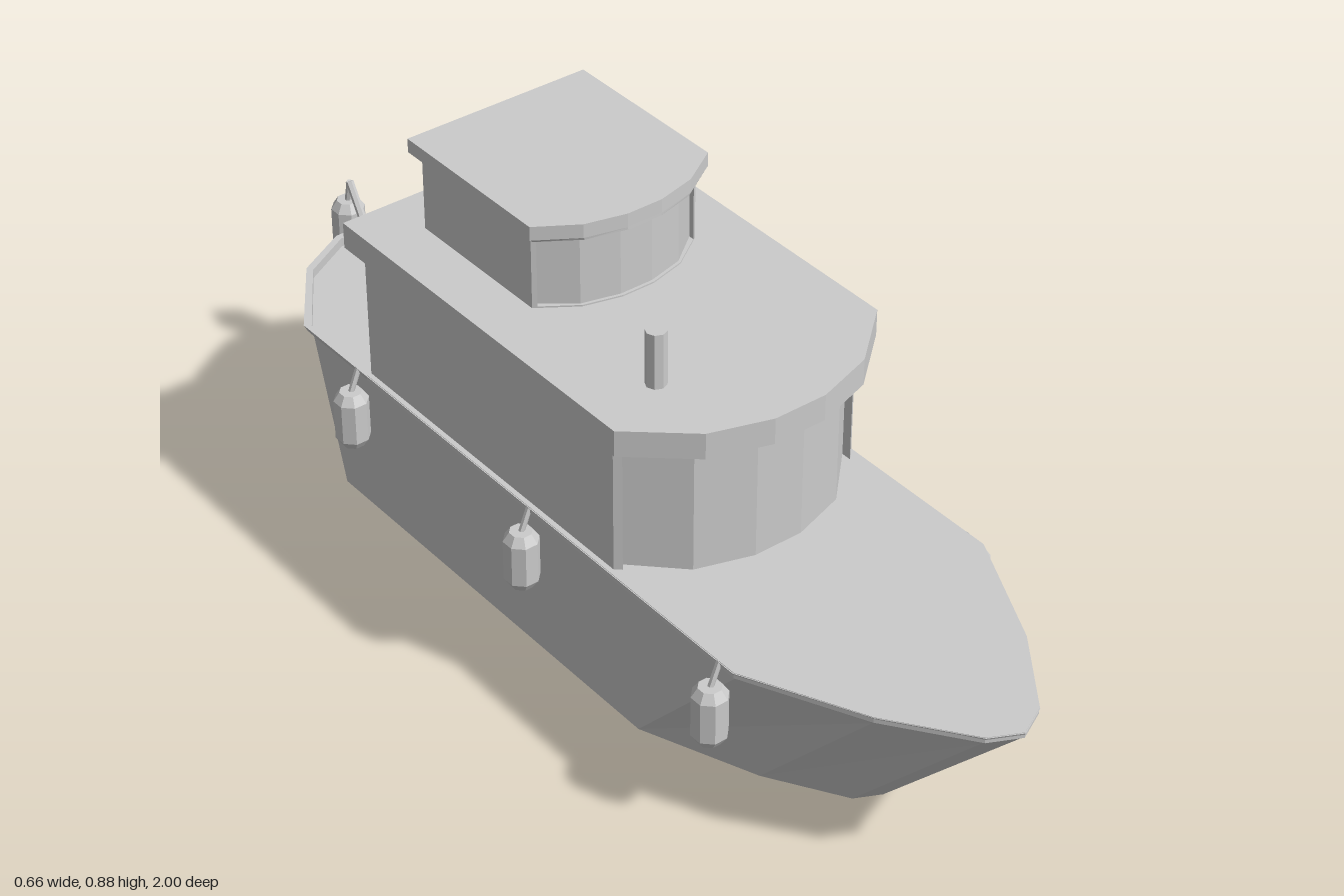
import * as THREE from 'three';

const material = new THREE.MeshStandardMaterial({ color: 0xcccccc, flatShading: true });

function addMesh(parent, name, geometry) {
  const mesh = new THREE.Mesh(geometry, material);
  mesh.name = name;
  parent.add(mesh);
  return mesh;
}

// Closed skin through matching convex rings of [x, y, z], capped at both ends
function loft(rings) {
  const pos = [];
  const n = rings[0].length;
  const tri = (a, b, c) => pos.push(...a, ...b, ...c);
  for (let r = 0; r < rings.length - 1; r++) {
    for (let i = 0; i < n; i++) {
      const j = (i + 1) % n;
      const a = rings[r][i], b = rings[r][j], c = rings[r + 1][j], d = rings[r + 1][i];
      tri(a, b, c);
      tri(a, c, d);
    }
  }
  const first = rings[0], last = rings[rings.length - 1];
  for (let i = 1; i < n - 1; i++) {
    tri(first[0], first[i + 1], first[i]);
    tri(last[0], last[i], last[i + 1]);
  }
  const g = new THREE.BufferGeometry();
  g.setAttribute('position', new THREE.Float32BufferAttribute(pos, 3));
  g.computeVertexNormals();
  return g;
}

// Mirrors the +x half of an outline (bow to stern) into a full loop
const mirror = (half) => [...half, ...half.filter((p) => p[0] > 0).reverse().map(([x, z]) => [-x, z])];
const at = (outline, y, sx = 1, sz = 1) => outline.map(([x, z]) => [x * sx, y, z * sz]);
const prism = (outline, y0, y1) => loft([at(outline, y0), at(outline, y1)]);

// Straight sides and back, with a faceted bow-shaped front
const house = (w, back, side, mid, front) =>
  mirror([[w * 0.19, front], [w * 0.6, mid], [w, side], [w, back]]);

// Panel standing out from a rear wall, with sloping edges
function rearPanel(w, y0, y1, z, depth, bevel) {
  const ring = (b, zz) => [[w - b, y0 + b, zz], [b - w, y0 + b, zz], [b - w, y1 - b, zz], [w - b, y1 - b, zz]];
  return loft([ring(0, z + 0.005), ring(bevel, z - depth)]);
}

// Cabin whose faceted front is sunk behind a narrow frame
function cabin(parent, name, w, back, side, mid, front, y0, y1, frame, sunk) {
  const group = new THREE.Group();
  group.name = name;
  const full = house(w, back, side, mid, front);
  const core = mirror([
    [w * 0.19, front - sunk], [w * 0.6, mid - sunk], [w - frame, side - sunk], [w, side - sunk], [w, back],
  ]);
  addMesh(group, 'sill', prism(full, y0, y0 + frame));
  addMesh(group, 'cabinBody', prism(core, y0 + frame, y1 - frame));
  addMesh(group, 'header', prism(full, y1 - frame, y1));
  const slope = (mid - side) / (w * 0.4);
  const post = [[w - frame, side + slope * frame], [w, side], [w, side - sunk], [w - frame, side - sunk]];
  addMesh(group, 'leftPost', prism(post, y0 + frame, y1 - frame));
  const other = post.map(([x, z]) => [-x, z]).reverse();
  addMesh(group, 'rightPost', prism(other, y0 + frame, y1 - frame));
  parent.add(group);
}

function rod(parent, name, from, to, radius) {
  const a = new THREE.Vector3(...from), b = new THREE.Vector3(...to);
  const dir = b.clone().sub(a);
  const mesh = addMesh(parent, name, new THREE.CylinderGeometry(radius, radius, dir.length(), 6));
  mesh.position.copy(a).add(b).multiplyScalar(0.5);
  mesh.quaternion.setFromUnitVectors(new THREE.Vector3(0, 1, 0), dir.normalize());
}

// Octagonal fender with its centre at the group's origin
function fender(name, x, y, z) {
  const group = new THREE.Group();
  group.name = name;
  const profile = [[0, -0.06], [0.022, -0.06], [0.034, -0.042], [0.034, 0.042], [0.022, 0.06], [0, 0.06]]
    .map(([r, h]) => new THREE.Vector2(r, h));
  addMesh(group, 'fenderBody', new THREE.LatheGeometry(profile, 8, Math.PI / 8));
  group.position.set(x, y, z);
  return group;
}

export function createModel() {
  const model = new THREE.Group();
  model.name = 'boat';

  // Hull: raked bow, flared sides, outer lip and a sunken stern deck
  const keel = mirror([[0, 0.67], [0.05, 0.645], [0.14, 0.5], [0.232, 0.27],
    [0.232, -0.66], [0.14, -0.815], [0.05, -0.872]]);
  const rail = mirror([[0, 1.0], [0.06, 0.97], [0.17, 0.82], [0.282, 0.59],
    [0.282, -0.7], [0.17, -0.86], [0.06, -0.92]]);
  addMesh(model, 'hull', loft([
    at(keel, 0), at(rail, 0.346, 0.95, 0.983), at(rail, 0.358, 0.98, 0.994), at(rail, 0.371),
    at(rail, 0.371, 0.96, 0.985), at(rail, 0.352, 0.96, 0.985),
  ]));
  const fore = mirror([[0, 0.998], [0.06, 0.968], [0.17, 0.818], [0.28, 0.59], [0.28, -0.49]]);
  addMesh(model, 'foredeck', prism(fore, 0.36, 0.372));

  // Main cabin and its overhanging roof
  cabin(model, 'mainCabin', 0.27, -0.49, 0.25, 0.345, 0.38, 0.36, 0.64, 0.012, 0.01);
  addMesh(model, 'mainRearPanel', rearPanel(0.26, 0.372, 0.628, -0.49, 0.035, 0.03));
  const roof = house(0.29, -0.525, 0.28, 0.38, 0.418);
  addMesh(model, 'mainRoof', loft([at(roof, 0.634, 0.965, 0.975), at(roof, 0.642), at(roof, 0.695)]));

  // Wheelhouse and its roof
  cabin(model, 'wheelhouse', 0.182, -0.42, -0.095, -0.045, -0.026, 0.69, 0.85, 0.008, 0.006);
  addMesh(model, 'wheelhouseRearPanel', rearPanel(0.174, 0.7, 0.844, -0.42, 0.024, 0.02));
  const upper = house(0.196, -0.443, -0.078, -0.028, -0.008);
  addMesh(model, 'wheelhouseRoof', loft([at(upper, 0.845, 0.965, 0.99), at(upper, 0.85), at(upper, 0.878)]));

  // Exhaust pipe
  const pipe = addMesh(model, 'exhaustPipe', new THREE.CylinderGeometry(0.02, 0.02, 0.12, 8));
  pipe.position.set(-0.15, 0.746, 0.215);

  // Fenders hung along both sides
  for (const [sideName, s] of [['left', 1], ['right', -1]]) {
    [0.55, 0.015, -0.523].forEach((z, i) => {
      model.add(fender(`${sideName}Fender${i + 1}`, s * 0.297, 0.265, z));
      rod(model, `${sideName}FenderRope${i + 1}`, [s * 0.277, 0.37, z], [s * 0.297, 0.32, z], 0.006);
    });
  }

  // Stern fender on a small raised arm
  model.add(fender('sternFender', 0, 0.35, -0.966));
  rod(model, 'sternArm', [0, 0.365, -0.9], [0, 0.457, -0.955], 0.008);
  rod(model, 'sternRope', [0, 0.457, -0.955], [0, 0.405, -0.966], 0.006);

  return model;
}
